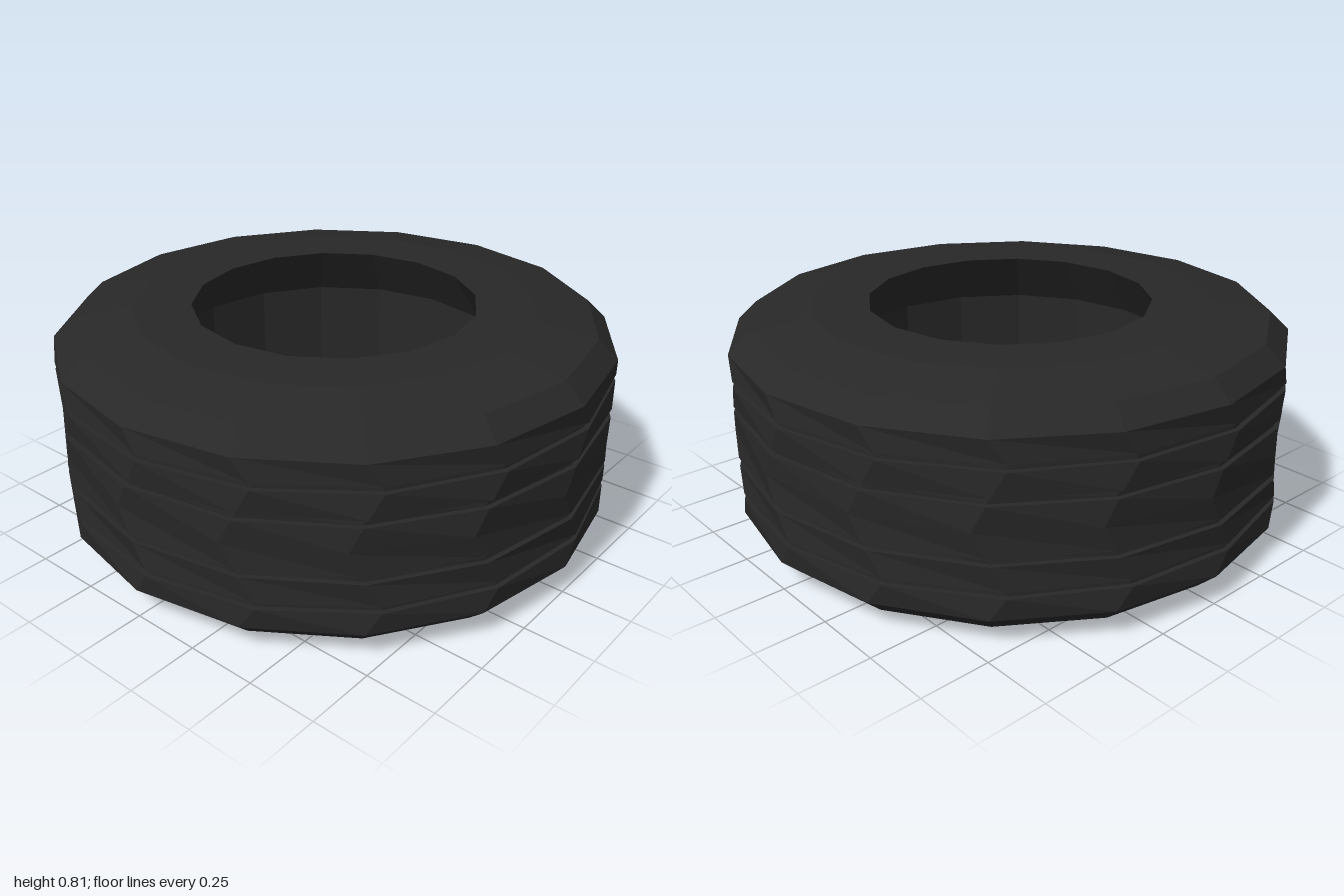
import * as THREE from 'three';

const SIDES = 16;
const MID = 0.4025;   // half of the tyre's width
const SWING = 3;      // degrees of chevron swing in the tread

// Upper half of the tread: [radius, height above the middle, twist in degrees]
const treadHalf = [
  [1, 0.0875, -0.5],
  [0.982, 0.0875, -0.5],
  [0.982, 0.1125, 0.2],
  [1, 0.1125, 0.2],
  [1, 0.1985, SWING],
  [0.982, 0.1985, SWING],
  [0.982, 0.2225, SWING],
  [1, 0.2225, SWING],
];

// Shoulder, side wall, bead and inner wall
const wallHalf = [
  [1, 0.3, 0],
  [0.93, 0.367, 0],
  [0.72, MID, 0],
  [0.51, MID, 0],
  [0.63, 0.2125, 0],
];

// Lathe a profile, then turn each ring about the axis by its own twist
function twistedLathe(profile) {
  const points = profile.map(([r, h]) => new THREE.Vector2(r, MID + h));
  const geometry = new THREE.LatheGeometry(points, SIDES);
  const pos = geometry.attributes.position;
  const axis = new THREE.Vector3(0, 1, 0);
  const v = new THREE.Vector3();
  for (let i = 0; i < pos.count; i++) {
    const twist = THREE.MathUtils.degToRad(profile[i % profile.length][2]);
    v.fromBufferAttribute(pos, i).applyAxisAngle(axis, twist);
    pos.setXYZ(i, v.x, v.y, v.z);
  }
  const flat = geometry.toNonIndexed();
  flat.computeVertexNormals();
  return flat;
}

const mirrored = (half) => half.map(([r, h, t]) => [r, -h, t]).reverse();

export function createModel() {
  const group = new THREE.Group();
  group.name = 'tyre';
  const rubber = new THREE.MeshStandardMaterial({ color: 0x282828, flatShading: true });

  const add = (name, profile) => {
    const mesh = new THREE.Mesh(twistedLathe(profile), rubber);
    mesh.name = name;
    group.add(mesh);
  };

  // Grooved tread with zigzag facets, from shoulder to shoulder
  const shoulder = wallHalf[0];
  add('tread', [
    ...mirrored([...treadHalf, shoulder]),
    [1, 0, -SWING],
    ...treadHalf, shoulder,
  ]);

  // Side walls with beads, and the recessed wall inside the hole
  add('upperSideWall', wallHalf);
  add('lowerSideWall', mirrored(wallHalf));
  const inner = wallHalf[wallHalf.length - 1];
  add('innerWall', [inner, ...mirrored([inner])]);

  return group;
}
